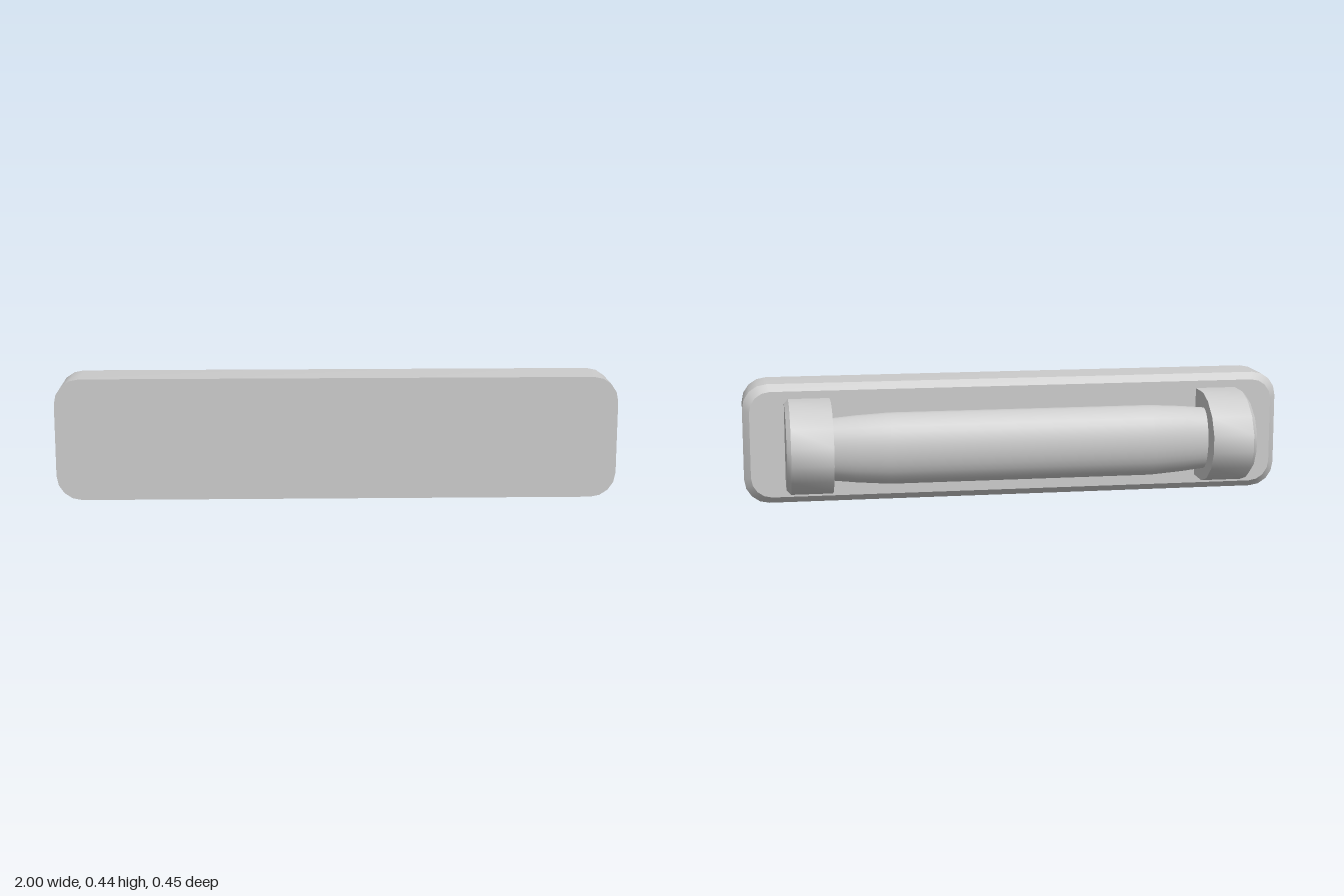
import * as THREE from 'three';
import { toCreasedNormals } from 'three/addons/utils/BufferGeometryUtils.js';

const MID_Y = 0.22;

// Capped skin over convex loops; each loop runs counter-clockwise about the direction of travel
function loft(loops, crease) {
  const n = loops[0].length;
  const position = loops.flat(2);
  const index = [];
  for (let s = 0; s < loops.length - 1; s++) {
    for (let i = 0; i < n; i++) {
      const a = s * n + i, b = s * n + (i + 1) % n;
      index.push(a, b, b + n, a, b + n, a + n);
    }
  }
  const last = (loops.length - 1) * n;
  for (let i = 1; i < n - 1; i++) {
    index.push(0, i + 1, i, last, last + i, last + i + 1);
  }
  const geometry = new THREE.BufferGeometry();
  geometry.setAttribute('position', new THREE.Float32BufferAttribute(position, 3));
  geometry.setIndex(index);
  return toCreasedNormals(geometry, crease);
}

// Rounded rectangle in the xy plane at depth z
function plateLoop(z, inset) {
  const r = 0.09 - inset * 0.6, cx = 1 - inset - r, cy = 0.22 - inset - r;
  const loop = [];
  [[1, 1], [-1, 1], [-1, -1], [1, -1]].forEach(([sx, sy], corner) => {
    for (let k = 0; k <= 4; k++) {
      const a = (corner + k / 4) * Math.PI / 2;
      loop.push([sx * cx + r * Math.cos(a), MID_Y + sy * cy + r * Math.sin(a), z]);
    }
  });
  return loop;
}

// Bracket outline in the zy plane: flat against the plate, rounded at the back
const bracketHalf = [[0.038, 0.166], [-0.063, 0.166], [-0.131, 0.144], [-0.194, 0.096], [-0.227, 0.032]];
function bracketLoop(x, scaleZ, scaleY) {
  const place = (z, y) => [x, MID_Y + 0.0015 + y * scaleY, 0.038 + (z - 0.038) * scaleZ];
  const lower = bracketHalf.map(([z, y]) => place(z, -y));
  const upper = bracketHalf.map(([z, y]) => place(z, y)).reverse();
  return [...lower, ...upper];
}

// Oval section of the bar
function barLoop(x, ry, rz, cz) {
  return Array.from({ length: 32 }, (_, i) => {
    const a = i / 32 * Math.PI * 2;
    return [x, MID_Y + ry * Math.cos(a), cz + rz * Math.sin(a)];
  });
}

export function createModel() {
  const model = new THREE.Group();
  const material = new THREE.MeshStandardMaterial({ color: 0xcccccc });
  const add = (name, geometry) => {
    const mesh = new THREE.Mesh(geometry, material);
    mesh.name = name;
    model.add(mesh);
  };

  // Front plate, chamfered round its back edge
  add('frontPlate', loft([plateLoop(0.038, 0.025), plateLoop(0.063, 0), plateLoop(0.228, 0)], 0.6));

  // End brackets with a small chamfer on the outer side
  const outside = [[0.685, 1, 1], [0.835, 1, 1], [0.85, 0.943, 0.904]];
  add('leftBracket', loft(outside.map(([x, z, y]) => bracketLoop(x, z, y)), 0.6));
  add('rightBracket', loft(outside.map(([x, z, y]) => bracketLoop(-x, z, y)).reverse(), 0.6));

  // Bar between the brackets, tapering toward both ends
  const half = [[0.48, 0.13, 0.09, -0.085], [0.6, 0.122, 0.083, -0.079], [0.69, 0.113, 0.075, -0.075]];
  const stations = [...half.map(([x, ...rest]) => [-x, ...rest]).reverse(), ...half];
  add('bar', loft(stations.map((s) => barLoop(...s)), 0.6));

  return model;
}
